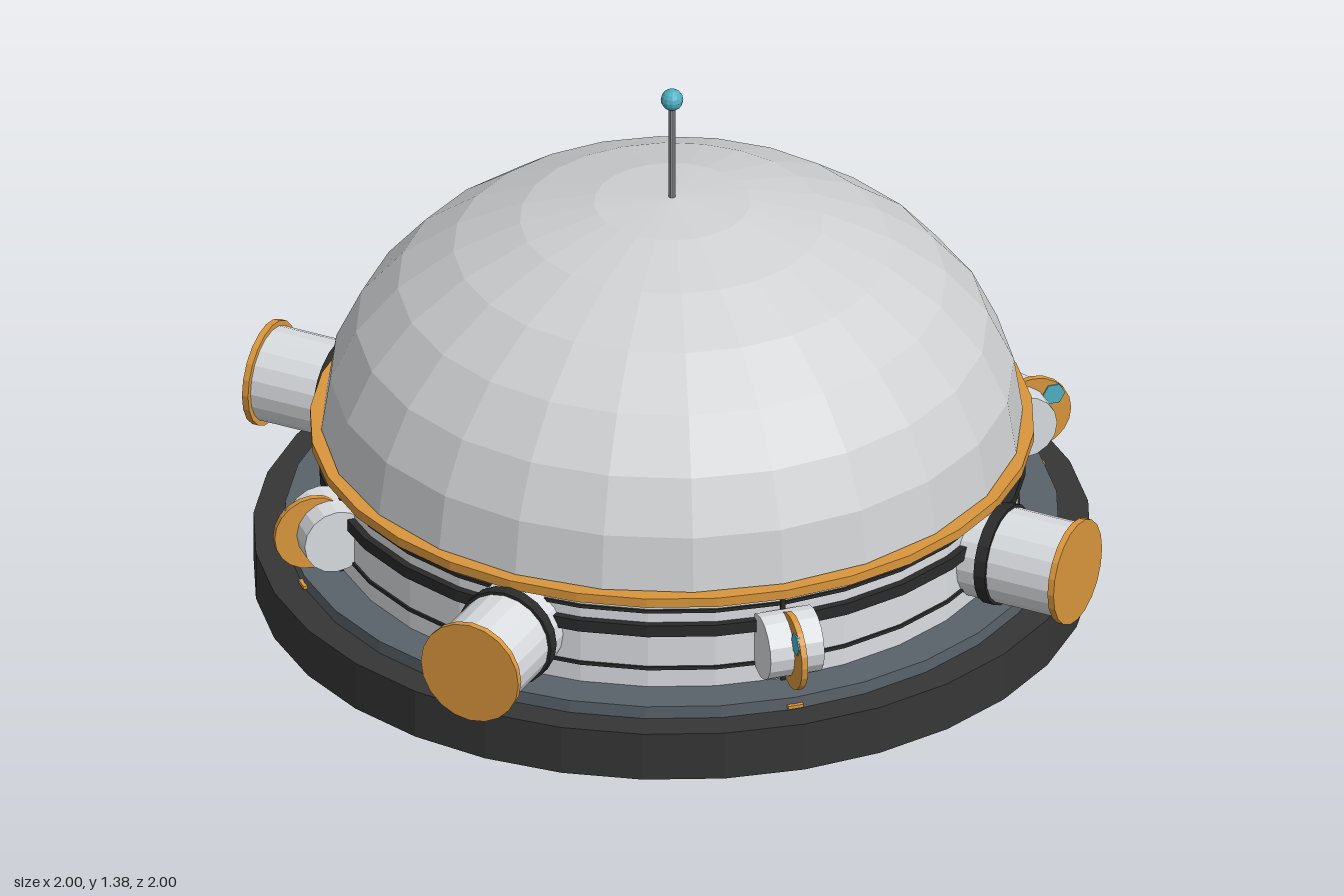
import * as THREE from 'three';

const mat = (name, color) => {
  const m = new THREE.MeshStandardMaterial({ color, flatShading: true });
  m.name = name;
  return m;
};

export function createModel() {
  const hull = mat('hull grey', 0xcfd1d3);
  const panel = mat('panel white', 0xdadde0);
  const gold = mat('gold', 0xd9963c);
  const dark = mat('base charcoal', 0x363636);
  const black = mat('seam black', 0x2a2a2a);
  const steel = mat('steel', 0x59636a);
  const metal = mat('antenna grey', 0x8c9094);
  const teal = mat('teal', 0x4fb0c4);

  const model = new THREE.Group();
  const add = (name, geometry, material, x = 0, y = 0, z = 0, parent = model) => {
    const mesh = new THREE.Mesh(geometry, material);
    mesh.name = name;
    mesh.position.set(x, y, z);
    parent.add(mesh);
    return mesh;
  };
  // upright drum between two heights
  const drum = (name, r, y0, y1, material, sides = 32) =>
    add(name, new THREE.CylinderGeometry(r, r, y1 - y0, sides), material, 0, (y0 + y1) / 2, 0);

  // dome: flattened half sphere in seven rows, and the shallow bowl below
  const step = Math.PI / 14;
  const domePoints = [], bowlPoints = [];
  for (let i = 7; i >= 0; i--) {
    domePoints.push(new THREE.Vector2(0.775 * Math.sin(i * step), 0.55 + 0.565 * Math.cos(i * step)));
  }
  for (let i = 0; i <= 4; i++) {
    bowlPoints.push(new THREE.Vector2(0.775 * Math.sin(i * step), 0.505 - 0.5 * Math.cos(i * step)));
  }
  add('dome', new THREE.LatheGeometry(domePoints, 24), hull);
  add('lowerBowl', new THREE.LatheGeometry(bowlPoints, 24), hull);

  // base, wall and trim rings
  drum('base', 0.925, 0.16, 0.275, dark);
  drum('baseStep', 0.855, 0.27, 0.305, steel);
  drum('wall', 0.765, 0.3, 0.53, panel);
  drum('goldRim', 0.8, 0.525, 0.547, gold);
  drum('darkBand', 0.782, 0.44, 0.468, black);
  drum('upperSeam', 0.77, 0.493, 0.501, black);
  drum('lowerSeam', 0.77, 0.349, 0.357, black);

  // antenna
  add('antennaRod', new THREE.CylinderGeometry(0.008, 0.008, 0.26, 8), metal, 0, 1.23, 0);
  add('antennaTip', new THREE.SphereGeometry(0.025, 12, 8), teal, 0, 1.36, 0);

  const portY = 0.415;
  for (let i = 0; i < 4; i++) {
    // docking port, pointing along local +z
    const port = new THREE.Group();
    port.name = 'dockingPort';
    port.rotation.y = i * Math.PI / 2;
    model.add(port);
    const tube = (name, r, z0, z1, material) => {
      const g = new THREE.CylinderGeometry(r, r, z1 - z0, 20).rotateX(Math.PI / 2);
      add(name, g, material, 0, portY, (z0 + z1) / 2, port);
    };
    tube('portTube', 0.108, 0.74, 0.99, panel);
    tube('portCollar', 0.115, 0.8, 0.828, black);
    tube('portCap', 0.12, 0.985, 1.0, gold);

    // side pod between the ports, its axle running along the wall
    const pod = new THREE.Group();
    pod.name = 'sidePod';
    pod.rotation.y = Math.PI / 4 + i * Math.PI / 2;
    model.add(pod);
    const wheel = (name, r, width, material, x, y, z, sides) =>
      add(name, new THREE.CylinderGeometry(r, r, width, sides).rotateZ(Math.PI / 2), material, x, y, z, pod);
    wheel('podBarrel', 0.075, 0.125, panel, 0, portY, 0.8, 16);
    wheel('podDisc', 0.088, 0.014, gold, 0, portY, 0.838, 20);
    wheel('podLight', 0.026, 0.008, teal, -0.006, 0.457, 0.885, 6);
    add('wallSeam', new THREE.BoxGeometry(0.01, 0.22, 0.012), black, 0, portY, 0.768, pod);
    add('baseMark', new THREE.BoxGeometry(0.035, 0.008, 0.012), gold, 0, 0.285, 0.857, pod);
  }
  return model;
}
